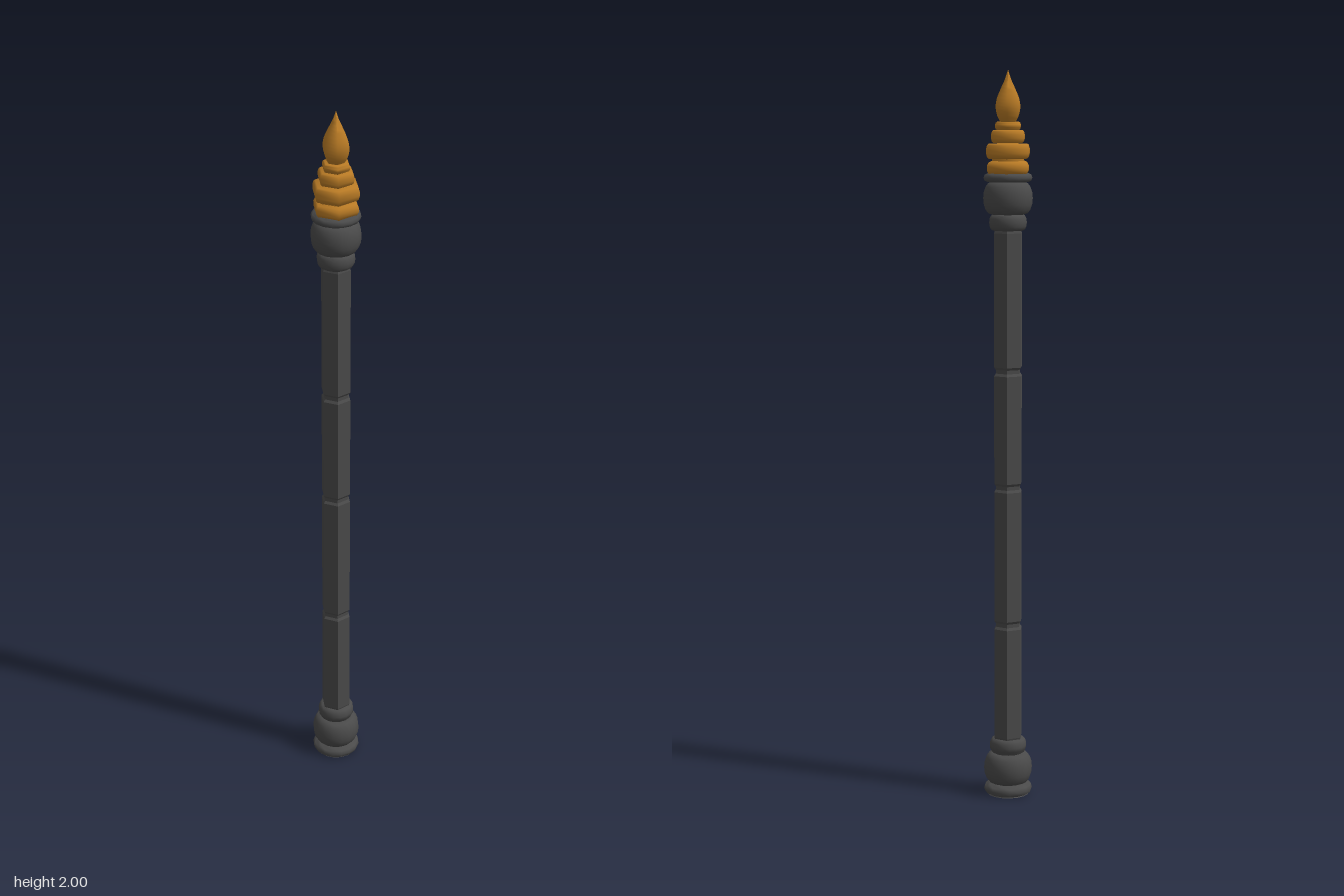
import * as THREE from 'three';
import { toCreasedNormals } from 'three/addons/utils/BufferGeometryUtils.js';

const iron = new THREE.MeshStandardMaterial({ color: 0x4a4a4a });
const ironFlat = new THREE.MeshStandardMaterial({ color: 0x4a4a4a, flatShading: true });
const gold = new THREE.MeshStandardMaterial({ color: 0xb87a25 });

// Turned part from [radius, height] pairs, with a corner of the polygon on +x
function turned(name, profile, sides, material, crease = 1.1) {
  const points = profile.map(([r, y]) => new THREE.Vector2(r, y));
  let geometry = new THREE.LatheGeometry(points, sides, Math.PI / 2);
  geometry = toCreasedNormals(geometry, crease);
  const mesh = new THREE.Mesh(geometry, material);
  mesh.name = name;
  return mesh;
}

// Rounded band between two heights, bulging from rIn to rOut
function band(y0, y1, rIn, rOut, steps = 6) {
  const out = [];
  for (let i = 0; i <= steps; i++) {
    const a = (i / steps) * Math.PI;
    out.push([rIn + (rOut - rIn) * Math.sin(a), (y0 + y1) / 2 - ((y1 - y0) / 2) * Math.cos(a)]);
  }
  return out;
}

export function createModel() {
  const group = new THREE.Group();
  group.name = 'finialPost';

  // Six-sided shaft, divided by narrow grooves
  const shaft = [[0, 0.15], [0.037, 0.15], [0.042, 0.165]];
  for (const y of [0.485, 0.87, 1.19]) {
    shaft.push([0.042, y - 0.012], [0.037, y - 0.005], [0.037, y + 0.005], [0.042, y + 0.012]);
  }
  shaft.push([0.042, 1.565], [0.037, 1.58], [0, 1.58]);
  group.add(turned('shaft', shaft, 6, ironFlat));

  // Foot: disc, bulb and neck ring
  group.add(turned('foot', [
    [0, 0], [0.058, 0], ...band(0.002, 0.03, 0.056, 0.067, 4),
    ...band(0.032, 0.118, 0.045, 0.067, 8),
    ...band(0.118, 0.16, 0.041, 0.051, 6), [0, 0.16],
  ], 16, iron));

  // Capital: neck ring, bulb and disc
  group.add(turned('capital', [
    [0, 1.572], ...band(1.572, 1.615, 0.041, 0.051, 6),
    ...band(1.615, 1.702, 0.045, 0.067, 8),
    ...band(1.702, 1.725, 0.056, 0.066, 4), [0, 1.725],
  ], 16, iron));

  // Stepped six-sided crown
  const tiers = [
    [1.72, 1.758, 0.05, 0.064], [1.764, 1.804, 0.058, 0.066],
    [1.806, 1.84, 0.044, 0.051], [1.84, 1.862, 0.033, 0.039],
  ];
  tiers.forEach(([y0, y1, rIn, rOut], i) => {
    group.add(turned('crownTier' + (i + 1), [[0, y0], ...band(y0, y1, rIn, rOut, 5), [0, y1]], 6, gold));
  });
  group.add(turned('crownNeck', [[0.048, 1.75], [0.048, 1.775]], 6, gold));

  // Flame-shaped tip
  const flame = new THREE.SplineCurve([
    [0.02, 1.858], [0.031, 1.875], [0.037, 1.9], [0.033, 1.925], [0.02, 1.953], [0.009, 1.975], [0, 2],
  ].map(([r, y]) => new THREE.Vector2(r, y))).getPoints(16).map((p) => [Math.max(p.x, 0), p.y]);
  group.add(turned('flameTip', flame, 6, gold));

  return group;
}
